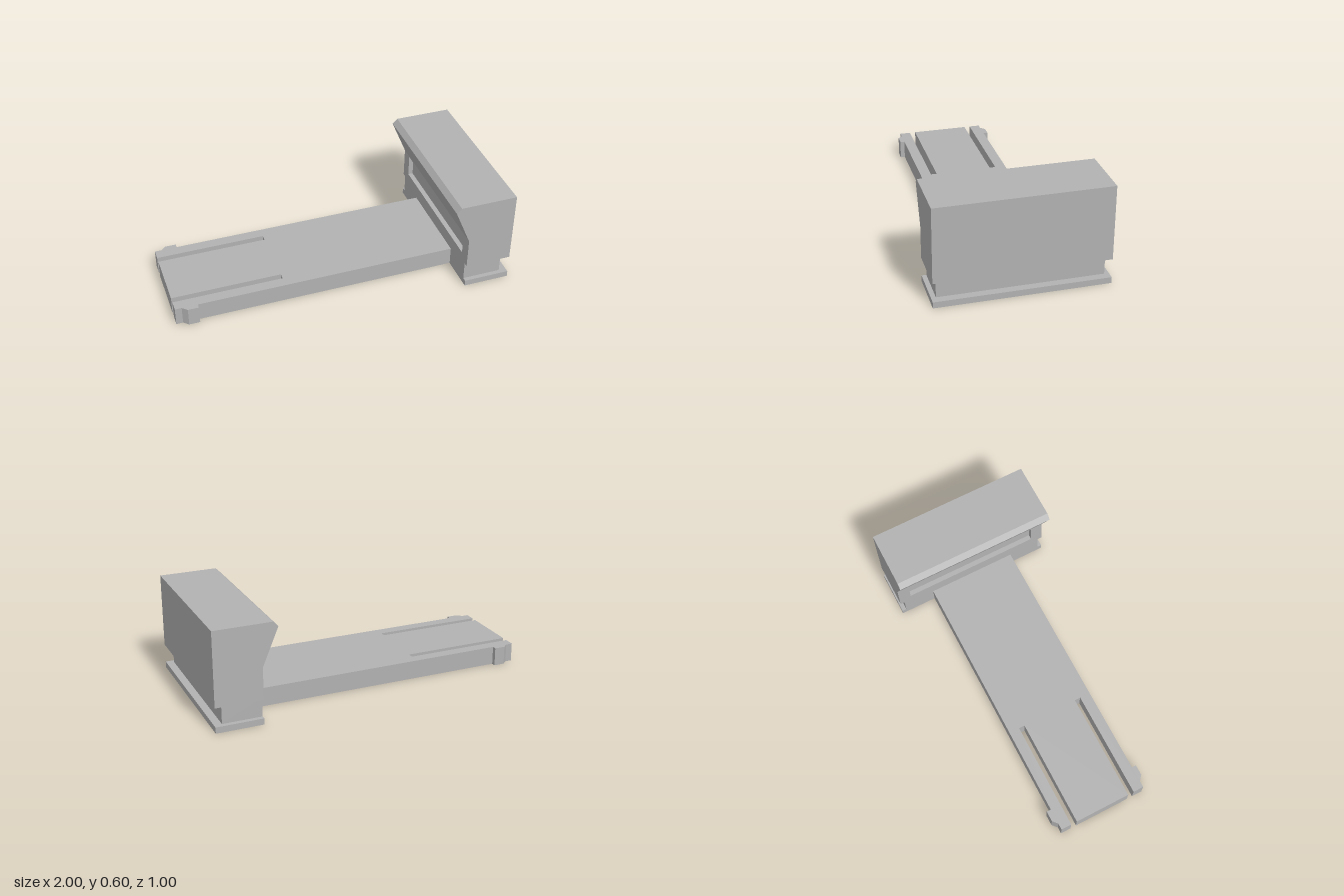
import * as THREE from 'three';

const grey = new THREE.MeshStandardMaterial({ color: 0xb2b2b2 });
grey.name = 'plainGrey';

// Extrude a list of [a, b] points by depth
function extrude(points, depth) {
  const shape = new THREE.Shape(points.map(([a, b]) => new THREE.Vector2(a, b)));
  return new THREE.ExtrudeGeometry(shape, { depth, bevelEnabled: false });
}

function add(group, name, geometry) {
  const mesh = new THREE.Mesh(geometry, grey);
  mesh.name = name;
  group.add(mesh);
  return mesh;
}

// Box from its x, y and z ranges
function block(group, name, [x0, x1], [y0, y1], halfZ) {
  const geometry = new THREE.BoxGeometry(x1 - x0, y1 - y0, halfZ * 2);
  add(group, name, geometry).position.set((x0 + x1) / 2, (y0 + y1) / 2, 0);
}

export function createModel() {
  const model = new THREE.Group();
  model.name = 'slidingLatch';

  // Tongue: plan outline with two slots and a catch on each outer arm
  const half = [
    [0.72, 0.276], [-0.865, 0.276], [-0.865, 0.303], [-0.93, 0.303], [-0.96, 0.276],
    [-1, 0.276], [-1, 0.211], [-0.335, 0.211], [-0.335, 0.174], [-1, 0.174],
  ];
  const mirrored = half.map(([x, z]) => [x, -z]).reverse();
  const tongue = extrude([...half, ...mirrored], 0.113);
  tongue.rotateX(-Math.PI / 2);
  add(model, 'tongue', tongue);

  // Foot plate and the narrower neck above it
  block(model, 'footPlate', [0.72, 1], [0, 0.037], 0.5);
  block(model, 'neck', [0.72, 0.955], [0.037, 0.15], 0.473);

  // Head: side profile with an overhanging lip; the middle has a shallow recess
  const recess = [[0.72, 0.335], [0.75, 0.335], [0.75, 0.2], [0.72, 0.2]];
  const profile = (notch) => [
    [0.72, 0.15], [1, 0.15], [1, 0.595], [0.655, 0.595], [0.625, 0.565], [0.72, 0.34], ...notch,
  ];
  const head = new THREE.Group();
  head.name = 'head';
  model.add(head);
  add(head, 'headMiddle', extrude(profile(recess), 0.85)).position.z = -0.425;
  for (const z of [-0.5, 0.425]) {
    add(head, 'headEnd', extrude(profile([]), 0.075)).position.z = z;
  }

  return model;
}
